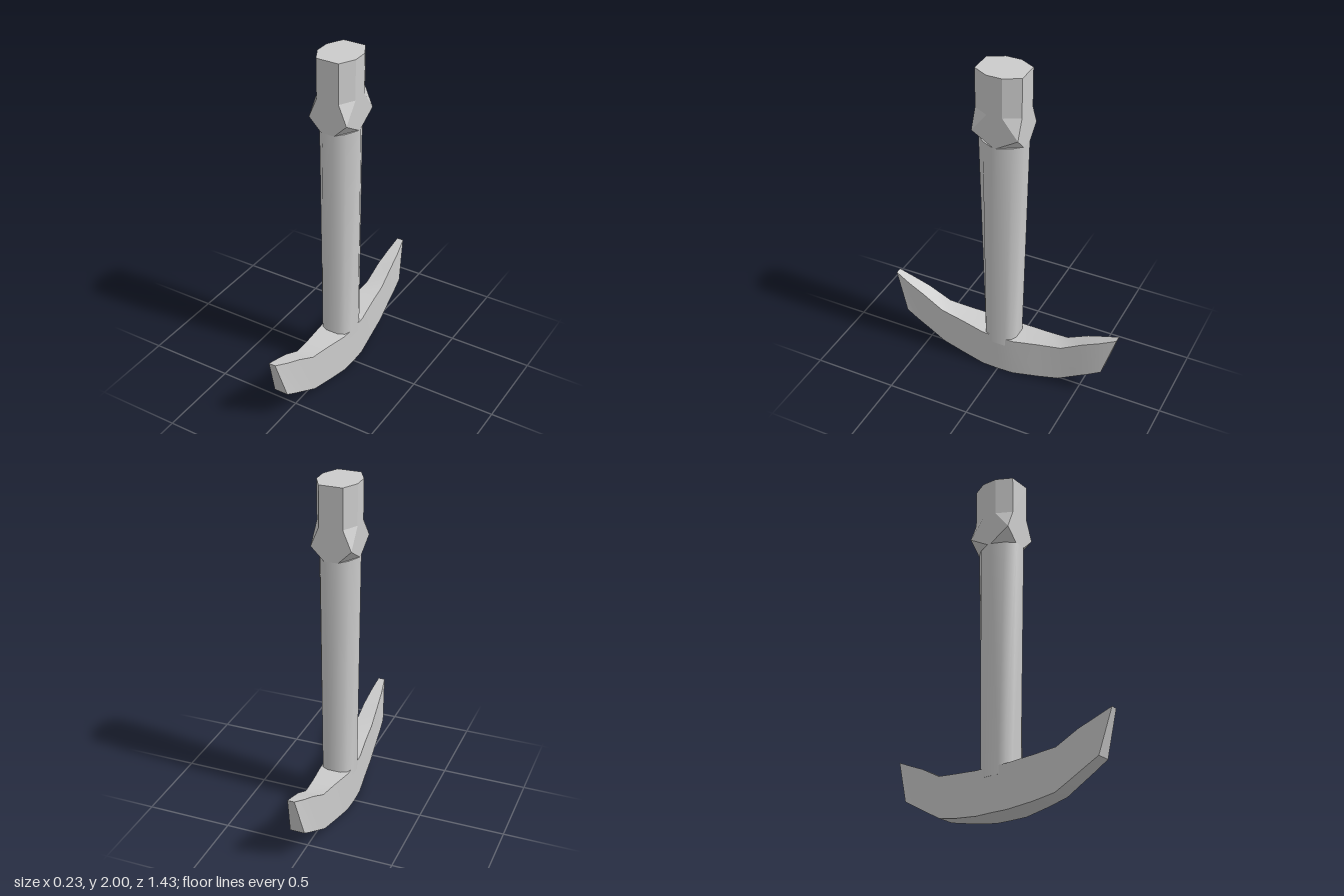
import * as THREE from 'three';
import { toCreasedNormals } from 'three/addons/utils/BufferGeometryUtils.js';

// Skins closed rings of [x, y, z] points, caps both ends, keeps edges above the crease angle sharp
function loft(rings, crease) {
  const n = rings[0].length;
  const pos = rings.flat(2);
  const index = [];
  for (let r = 0; r < rings.length - 1; r++) {
    for (let i = 0; i < n; i++) {
      const a = r * n + i, b = r * n + (i + 1) % n;
      index.push(a, b, b + n, a, b + n, a + n);
    }
  }
  const cap = (r, flip) => {
    const base = r * n, centre = pos.length / 3;
    for (let k = 0; k < 3; k++) pos.push(rings[r].reduce((s, p) => s + p[k], 0) / n);
    for (let i = 0; i < n; i++) {
      const a = base + i, b = base + (i + 1) % n;
      index.push(centre, flip ? b : a, flip ? a : b);
    }
  };
  cap(0, true);
  cap(rings.length - 1, false);
  const g = new THREE.BufferGeometry();
  g.setAttribute('position', new THREE.Float32BufferAttribute(pos, 3));
  g.setIndex(index);
  return toCreasedNormals(g, crease);
}

// Mirrors one quarter of a section, listed from +z round to +x, into a level ring
function levelRing(y, quarter) {
  const back = [...quarter].reverse();
  return [
    ...quarter.map(([x, z]) => [x, y, z]),
    ...back.map(([x, z]) => [x, y, -z]),
    ...quarter.map(([x, z]) => [-x, y, -z]),
    ...back.map(([x, z]) => [-x, y, z]),
  ];
}

export function createModel() {
  const group = new THREE.Group();
  const material = new THREE.MeshStandardMaterial({ color: 0xcccccc });
  const add = (name, geometry) => {
    const mesh = new THREE.Mesh(geometry, material);
    mesh.name = name;
    group.add(mesh);
  };

  // Butt: chamfered block whose corners come to a point at mid height
  const W = 0.115, D = 0.135;
  add('butt', loft([
    levelRing(1.58, [[0.04, D], [W, 0.01]]),
    levelRing(1.655, [[W, D], [W, D]]),
    levelRing(1.77, [[0.067, D], [W, 0.045]]),
    levelRing(2, [[0.067, D], [W, 0.045]]),
  ], 0.25));

  // Shaft: softly rounded section tapering towards the blade
  add('shaft', loft([
    levelRing(0.2, [[0.04, 0.1], [0.076, 0.082], [0.09, 0.045]]),
    levelRing(1.58, [[0.035, D], [0.082, 0.085], [W, 0.015]]),
  ], 1.05));

  // Blade: half sections as [top z, top y, top half width, bottom z, bottom y, bottom half width]
  const half = [
    [0.1, 0.25, 0.087, 0.1, 0, 0.087],
    [0.25, 0.268, 0.067, 0.25, 0.02, 0.068],
    [0.39, 0.285, 0.053, 0.38, 0.045, 0.055],
    [0.52, 0.355, 0.045, 0.48, 0.1, 0.05],
    [0.62, 0.397, 0.035, 0.57, 0.15, 0.047],
    [0.715, 0.44, 0.02, 0.64, 0.19, 0.042],
  ];
  const bladeRing = (s, [tz, ty, tw, bz, by, bw]) => [
    [bw, by, s * bz], [tw, ty, s * tz], [-tw, ty, s * tz], [-bw, by, s * bz],
  ];
  add('blade', loft([
    ...[...half].reverse().map((h) => bladeRing(-1, h)),
    bladeRing(1, [0, 0.25, 0.09, 0, 0, 0.09]),
    ...half.map((h) => bladeRing(1, h)),
  ], 0.5));

  return group;
}
